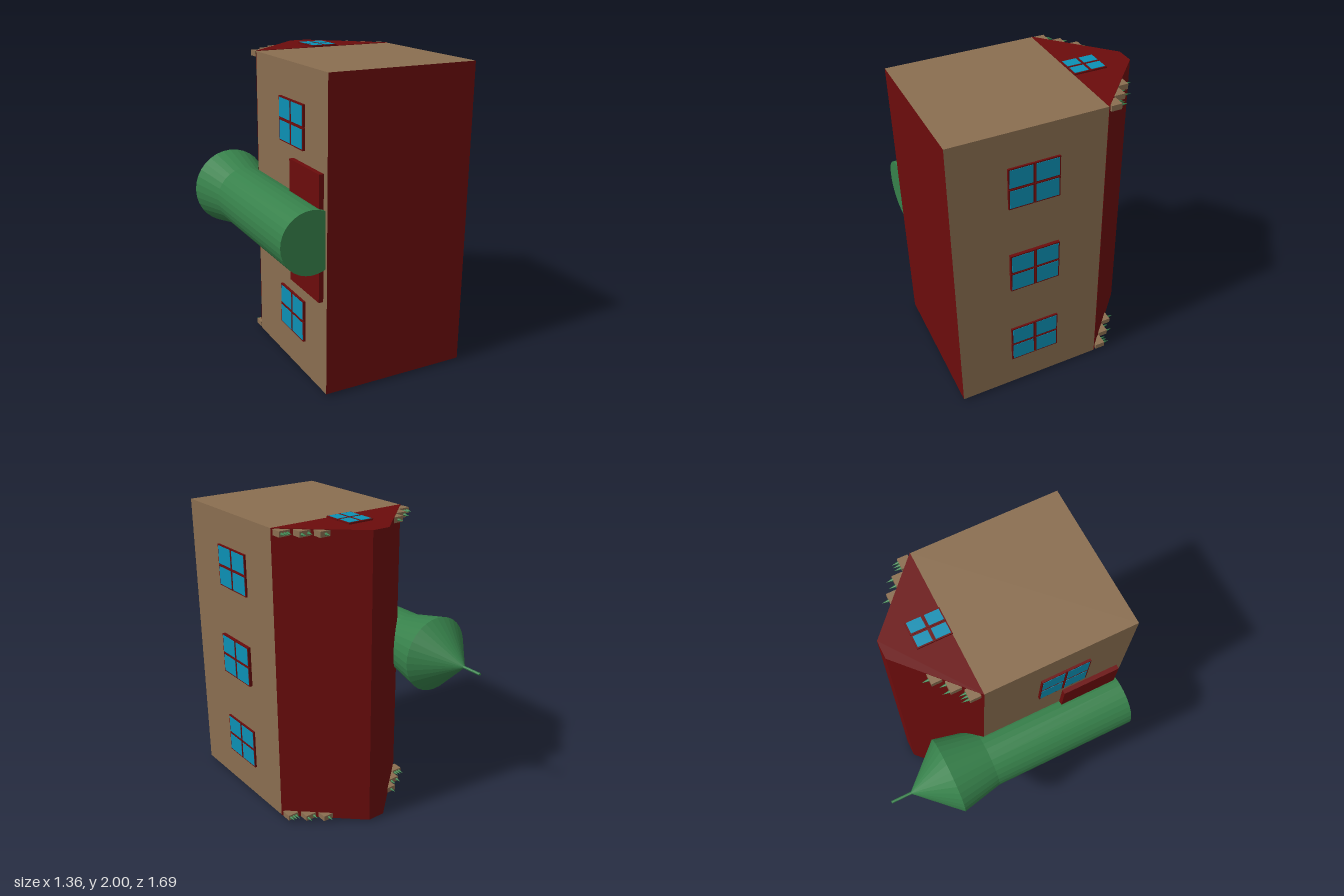
import * as THREE from 'three';

const mat = (color) => new THREE.MeshStandardMaterial({ color, flatShading: true });

export function createModel() {
  const red = mat(0x6b0c0c), tan = mat(0x8a6e50), blue = mat(0x0c90b4), green = mat(0x36804a);
  const house = new THREE.Group();
  house.name = 'house';

  const add = (parent, name, geometry, material, x = 0, y = 0, z = 0) => {
    const mesh = new THREE.Mesh(geometry, material);
    mesh.name = name;
    mesh.position.set(x, y, z);
    parent.add(mesh);
    return mesh;
  };
  const box = (w, h, d) => new THREE.BoxGeometry(w, h, d);

  // The house lies on its back: its base faces +z and its roof points to -z
  add(house, 'walls', box(0.985, 1.97, 0.98), [tan, tan, tan, tan, red, tan], 0.16, 1, 0.35);

  // Roof with a flattened ridge and red gables
  const profile = new THREE.Shape(
    [[-0.335, 0.14], [0.655, 0.14], [0.22, 0.54], [0.1, 0.54]].map(([x, y]) => new THREE.Vector2(x, y)));
  const roof = new THREE.ExtrudeGeometry(profile, { depth: 1.975, bevelEnabled: false });
  add(house, 'roof', roof.rotateX(-Math.PI / 2), red, 0, 0.0125, 0);

  // Window: backing plate and four framed panes, facing local +z
  const addWindow = (name, w, h, depth, position, rx, ry) => {
    const win = new THREE.Group();
    win.name = name;
    add(win, 'backing', box(w - 0.01, h - 0.01, depth * 0.5), red, 0, 0, depth * 0.25);
    for (const sx of [-1, 1]) for (const sy of [-1, 1]) {
      const x = sx * w / 4, y = sy * h / 4;
      add(win, 'paneFrame', box(w / 2 - 0.004, h / 2 - 0.004, depth - 0.002), red, x, y, depth / 2 - 0.001);
      add(win, 'pane', box(w / 2 - 0.02, h / 2 - 0.02, 0.004), blue, x, y, depth - 0.002);
    }
    win.position.set(...position);
    win.rotation.set(rx, ry, 0);
    house.add(win);
  };
  for (const y of [0.38, 1, 1.62])
    addWindow('leftWindow', 0.33, 0.28, y === 1 ? 0.023 : 0.015, [0.652, y, 0.325], 0, Math.PI / 2);
  for (const y of [0.38, 1.625])
    addWindow('rightWindow', 0.33, 0.28, 0.018, [-0.332, y, 0.395], 0, -Math.PI / 2);
  addWindow('gableWindow', 0.185, 0.225, 0.0125, [0.162, 1.9875, -0.248], -Math.PI / 2, 0);
  addWindow('gableWindow', 0.185, 0.225, 0.0125, [0.162, 0.0125, -0.248], Math.PI / 2, 0);

  // Door behind the tower
  add(house, 'door', box(0.03, 0.79, 0.39), red, -0.35, 1.015, 0.605);

  // Tower with a flared head, cone and flagpole along -z
  const turn = (points) => new THREE.LatheGeometry(
    points.map(([r, y]) => new THREE.Vector2(r, y)), 32).rotateX(-Math.PI / 2);
  add(house, 'tower', turn([[0, -0.82], [0.2, -0.82], [0.2, 0.165], [0.26, 0.44], [0, 0.715]]),
    green, -0.42, 1.015, 0);
  add(house, 'flagpole', new THREE.CylinderGeometry(0.009, 0.009, 0.15, 10).rotateX(Math.PI / 2),
    green, -0.42, 1.015, -0.772);

  // Stepped gable blocks with planted spikes: three, two, then one per step
  const spike = new THREE.ConeGeometry(0.009, 0.045, 8).rotateX(-Math.PI / 2);
  for (const y of [0.034, 1.966]) for (const side of [-1, 1]) for (let i = 0; i < 3; i++) {
    const x = 0.16 + side * (0.455 - i * 0.091);
    const top = -0.225 - i * 0.075;
    add(house, 'gableBlock', box(0.075, 0.036, 0.068), tan, x, y, top + 0.034);
    const count = 3 - i;
    for (let k = 0; k < count; k++)
      add(house, 'spike', spike, green, x + (k - (count - 1) / 2) * (count === 3 ? 0.02 : 0.045),
        y, top - 0.022);
  }

  return house;
}
